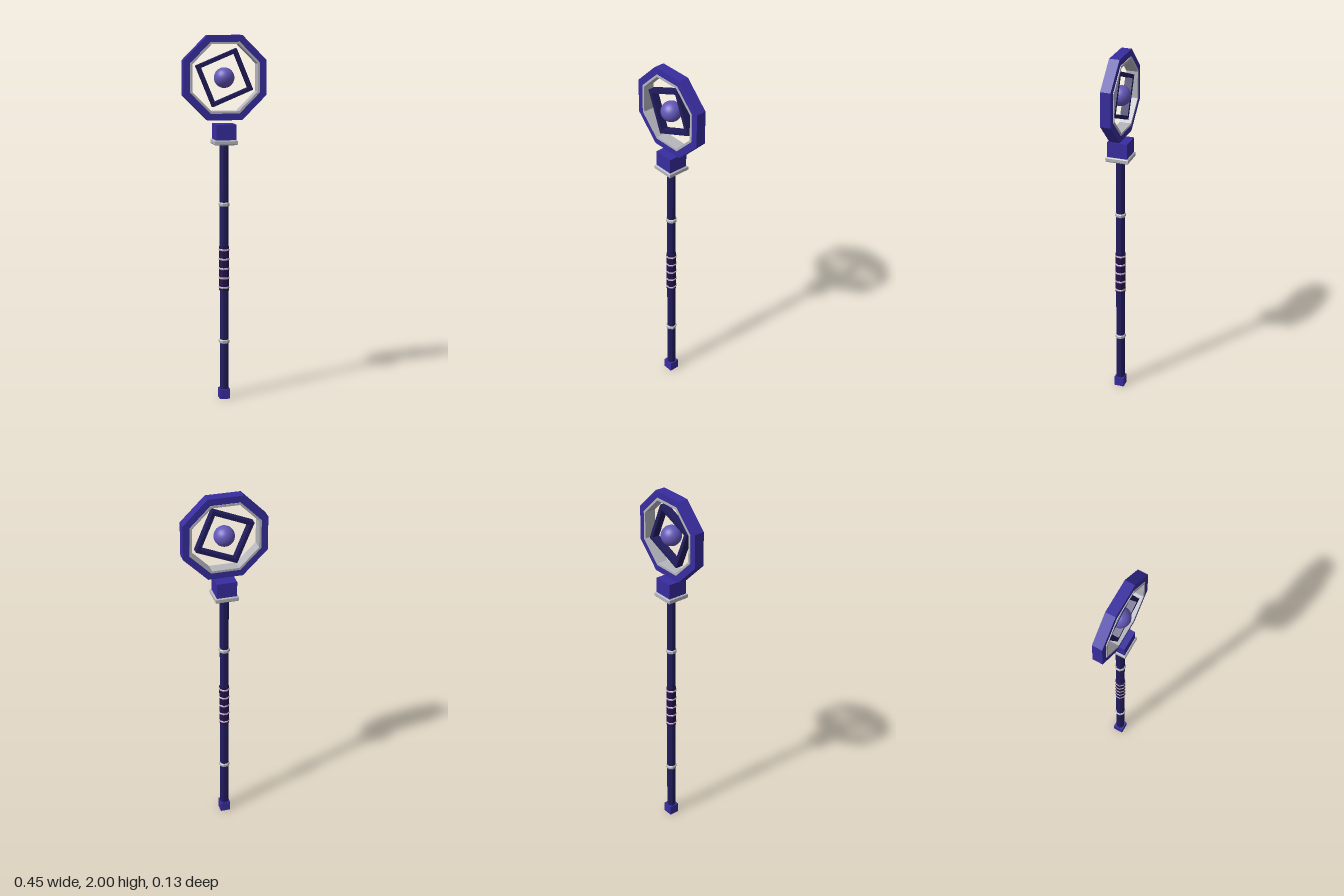
import * as THREE from 'three';

const mat = (name, color) => {
  const m = new THREE.MeshStandardMaterial({ color });
  m.name = name;
  return m;
};

export function createModel() {
  const indigo = mat('indigo', 0x382da0);
  const navy = mat('dark navy', 0x211c5e);
  const silver = mat('silver', 0xb6b6be);
  const plum = mat('dark plum', 0x260f4d);
  const violet = mat('violet', 0x6458ba);

  const staff = new THREE.Group();
  staff.name = 'staff';
  const HEAD_Y = 1.774;

  const add = (name, geometry, material, y, parent = staff) => {
    const mesh = new THREE.Mesh(geometry, material);
    mesh.name = name;
    mesh.position.y = y;
    parent.add(mesh);
    return mesh;
  };

  const faceted = (geometry) => {
    const g = geometry.toNonIndexed();
    g.computeVertexNormals();
    return g;
  };

  // Regular polygon given by its centre-to-side distance, with flat sides up and down
  const polygon = (path, sides, apothem) => {
    const r = apothem / Math.cos(Math.PI / sides);
    const pts = [];
    for (let i = 0; i < sides; i++) {
      const a = ((i + 0.5) / sides) * Math.PI * 2;
      pts.push(new THREE.Vector2(r * Math.cos(a), r * Math.sin(a)));
    }
    return path.setFromPoints(pts);
  };

  // Flat frame standing in the xy plane, centred in depth
  const frame = (sides, outer, inner, depth) => {
    const shape = polygon(new THREE.Shape(), sides, outer);
    shape.holes.push(polygon(new THREE.Path(), sides, inner));
    const g = new THREE.ExtrudeGeometry(shape, { depth, bevelEnabled: false });
    return g.translate(0, 0, -depth / 2);
  };

  // Prism with a flat side facing forward
  const prism = (sides, apothem, height) => faceted(new THREE.CylinderGeometry(
    apothem / Math.cos(Math.PI / sides), apothem / Math.cos(Math.PI / sides),
    height, sides).rotateY(Math.PI / sides));

  // Faceted band with chamfered rims
  const band = (sides, outer, inner, height, chamfer) => {
    const k = 1 / Math.cos(Math.PI / sides);
    const h = height / 2;
    const profile = [
      [inner, -h], [outer - chamfer, -h], [outer, -h + chamfer],
      [outer, h - chamfer], [outer - chamfer, h], [inner, h], [inner, -h],
    ].map(([r, y]) => new THREE.Vector2(r * k, y));
    return faceted(new THREE.LatheGeometry(profile, sides, Math.PI / sides));
  };

  // Pole and foot
  add('pole', prism(8, 0.0225, 1.39), navy, 0.73);
  add('foot', new THREE.BoxGeometry(0.056, 0.055, 0.056), indigo, 0.0275);

  // Pole bands
  for (const y of [0.325, 1.09]) add('poleBand', band(8, 0.028, 0.02, 0.024, 0.006), silver, y);

  // Grip with five thin bands
  add('grip', prism(8, 0.0255, 0.245), plum, 0.735);
  for (let i = 0; i < 5; i++) {
    add('gripBand', band(8, 0.028, 0.02, 0.016, 0.005), silver, 0.63 + i * 0.0525);
  }

  // Block under the head, with its collar
  add('headBlock', new THREE.BoxGeometry(0.11, 0.106, 0.11), indigo, 1.474);
  add('blockCollar', band(4, 0.063, 0.05, 0.027, 0.005), silver, 1.43);

  // Floating octagonal head
  const head = new THREE.Group();
  head.name = 'head';
  head.position.y = HEAD_Y;
  staff.add(head);
  add('outerRing', frame(8, 0.226, 0.189, 0.056), indigo, 0, head);
  add('ringLining', frame(8, 0.19, 0.178, 0.064), silver, 0, head);
  const square = add('tiltedSquare', frame(4, 0.119, 0.099, 0.042), navy, 0, head);
  square.rotation.z = Math.PI / 8;
  add('orb', new THREE.SphereGeometry(0.055, 32, 20), violet, 0, head);

  return staff;
}
